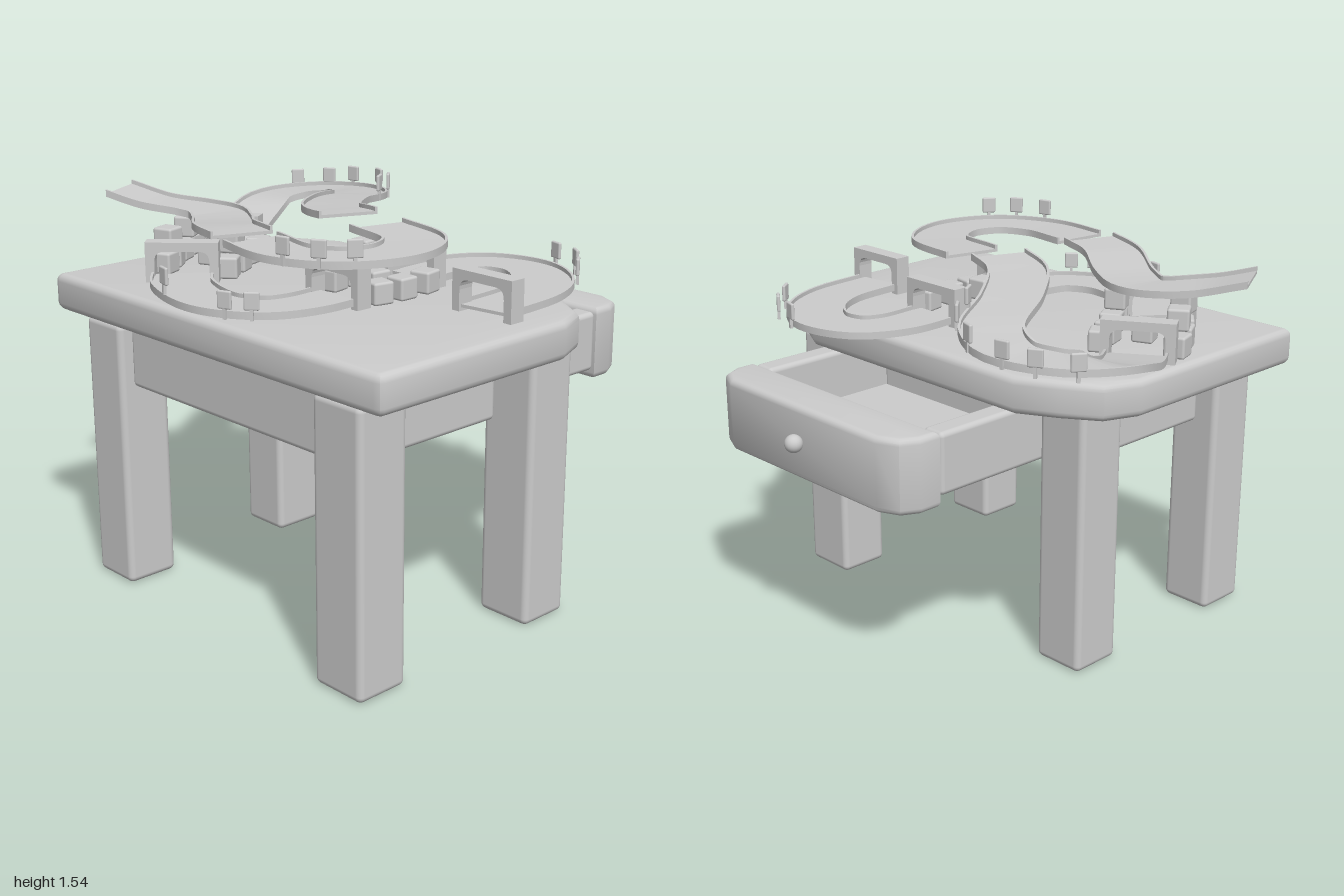
import * as THREE from 'three';
import { toCreasedNormals } from 'three/addons/utils/BufferGeometryUtils.js';
import { RoundedBoxGeometry } from 'three/addons/geometries/RoundedBoxGeometry.js';

const mat = new THREE.MeshStandardMaterial({ color: 0xcccccc });
const TOP = 1.21;

function add(parent, name, geo, x = 0, y = 0, z = 0, ry = 0) {
  const m = new THREE.Mesh(geo, mat);
  m.name = name;
  m.position.set(x, y, z);
  m.rotation.y = ry;
  parent.add(m);
  return m;
}

// Rounded block given by its minimum and maximum on each axis
function block(parent, name, x0, x1, y0, y1, z0, z1, r = 0.02) {
  const g = new RoundedBoxGeometry(x1 - x0, y1 - y0, z1 - z0, 3, r);
  return add(parent, name, g, (x0 + x1) / 2, (y0 + y1) / 2, (z0 + z1) / 2);
}

// Plan outline in (x, z) raised into a slab with rounded edges
function slab(parent, name, outline, y0, y1, bevel) {
  const shape = new THREE.Shape(outline.map(([x, z]) => new THREE.Vector2(x, -z)));
  const g = new THREE.ExtrudeGeometry(shape, {
    depth: y1 - y0 - 2 * bevel, bevelThickness: bevel, bevelSize: bevel, bevelOffset: -bevel, bevelSegments: 4,
  });
  g.rotateX(-Math.PI / 2);
  return add(parent, name, toCreasedNormals(g, 0.6), 0, y0 + bevel, 0);
}

// Channel-shaped ribbon with raised lips, swept along a curve
function track(parent, name, points) {
  const curve = new THREE.CatmullRomCurve3(points.map((p) => new THREE.Vector3(...p)));
  const w = 0.118, t = 0.012, lip = 0.016;
  const section = [[-w, -t], [w, -t], [w, lip], [w - 0.01, lip], [w - 0.01, 0], [-w + 0.01, 0], [-w + 0.01, lip], [-w, lip]];
  const n = section.length, steps = 48, pos = [], idx = [];
  for (let i = 0; i <= steps; i++) {
    const p = curve.getPointAt(i / steps), d = curve.getTangentAt(i / steps);
    const sx = -d.z / Math.hypot(d.x, d.z), sz = d.x / Math.hypot(d.x, d.z);
    for (const [a, b] of section) pos.push(p.x + sx * a, p.y + b, p.z + sz * a);
  }
  for (let i = 0; i < steps; i++) for (let j = 0; j < n; j++) {
    const a = i * n + j, e = i * n + (j + 1) % n;
    idx.push(a, a + n, e, e, a + n, e + n);
  }
  const caps = THREE.ShapeUtils.triangulateShape(section.map((s) => new THREE.Vector2(...s)), []);
  for (const [a, b, c] of caps) {
    const o = steps * n;
    idx.push(a, b, c, o + a, o + c, o + b);
  }
  const g = new THREE.BufferGeometry();
  g.setAttribute('position', new THREE.Float32BufferAttribute(pos, 3));
  g.setIndex(idx);
  add(parent, name, toCreasedNormals(g, 0.6));
}

// Arched gate; at zero angle it spans z
function gate(parent, x, z, angle) {
  const s = new THREE.Shape(), w = 0.14, h = 0.155, i = 0.105, t = 0.12, r = 0.04;
  s.moveTo(-w, 0);
  s.lineTo(-i, 0);
  s.lineTo(-i, t - r);
  s.quadraticCurveTo(-i, t, -i + r, t);
  s.lineTo(i - r, t);
  s.quadraticCurveTo(i, t, i, t - r);
  s.lineTo(i, 0);
  s.lineTo(w, 0);
  s.lineTo(w, h);
  s.lineTo(-w, h);
  const g = new THREE.ExtrudeGeometry(s, { depth: 0.066, bevelEnabled: false, curveSegments: 5 });
  g.translate(0, 0, -0.033).rotateY(Math.PI / 2);
  add(parent, 'gate', g, x, TOP, z, angle);
}

// Small sign on a post; at zero angle its board lies along x
function sign(parent, x, y, z, angle) {
  const g = new THREE.Group();
  g.name = 'trackSign';
  add(g, 'signPost', new THREE.BoxGeometry(0.012, 0.06, 0.012), 0, 0.02, 0);
  add(g, 'signBoard', new RoundedBoxGeometry(0.056, 0.066, 0.014, 2, 0.006), 0, 0.06, 0);
  g.position.set(x, y, z);
  g.rotation.y = angle;
  parent.add(g);
}

export function createModel() {
  const root = new THREE.Group();
  root.name = 'playTable';

  // Tabletop with two clipped corners
  slab(root, 'tableTop', [
    [-0.87, 1], [0.01, 1], [0.15, 0.945], [0.24, 0.81], [0.32, 0.66],
    [0.32, -0.49], [0.24, -0.64], [0.15, -0.775], [0.01, -0.83], [-0.87, -0.83],
    [-0.885, -0.825], [-0.893, -0.8], [-0.893, 0.97], [-0.885, 0.993],
  ], 1.065, TOP, 0.03);

  // Legs
  for (const [x0, x1, z0, z1] of [
    [-0.87, -0.65, 0.65, 0.885], [-0.02, 0.2, 0.65, 0.885],
    [-0.87, -0.65, -0.66, -0.44], [-0.09, 0.13, -0.66, -0.44],
  ]) block(root, 'leg', x0, x1, 0, 1.07, z0, z1, 0.025);

  // Aprons
  block(root, 'frontApron', -0.65, -0.1, 0.82, 1.065, 0.67, 0.78);
  block(root, 'backApron', -0.65, -0.1, 0.82, 1.065, -0.57, -0.46);
  block(root, 'leftApron', -0.82, -0.71, 0.82, 1.065, -0.44, 0.65);

  // Open drawer
  const drawer = new THREE.Group();
  drawer.name = 'drawer';
  root.add(drawer);
  block(drawer, 'drawerSide', -0.05, 0.625, 0.82, 1.06, 0.55, 0.65);
  block(drawer, 'drawerSide', -0.05, 0.625, 0.82, 1.06, -0.44, -0.34);
  block(drawer, 'drawerBack', -0.05, 0.03, 0.82, 1.06, -0.35, 0.56);
  block(drawer, 'drawerBottom', -0.04, 0.66, 0.83, 0.86, -0.36, 0.57, 0.005);
  slab(drawer, 'drawerFront', [
    [0.63, 0.65], [0.72, 0.65], [0.79, 0.615], [0.828, 0.53], [0.828, -0.32],
    [0.79, -0.405], [0.72, -0.44], [0.63, -0.44],
  ], 0.78, 1.07, 0.025);
  add(drawer, 'drawerKnob', new THREE.SphereGeometry(0.035, 20, 14), 0.865, 0.94, 0.095);

  // Track pieces, high to low
  const set = new THREE.Group();
  set.name = 'trackSet';
  root.add(set);
  track(set, 'launchRamp', [
    [-0.535, 1.49, -0.88], [-0.46, 1.45, -0.74], [-0.37, 1.43, -0.6], [-0.35, 1.425, -0.5],
    [-0.43, 1.43, -0.35], [-0.57, 1.455, -0.16], [-0.635, 1.465, 0.02],
  ]);
  track(set, 'upperBend', [
    [-0.65, 1.455, 0.09], [-0.68, 1.45, 0.33], [-0.59, 1.45, 0.51], [-0.4, 1.45, 0.575],
    [-0.22, 1.45, 0.48], [-0.155, 1.455, 0.22],
  ]);
  track(set, 'descendingBend', [
    [-0.15, 1.475, 0.06], [-0.08, 1.46, -0.11], [0.15, 1.435, -0.31], [0.41, 1.4, -0.47], [0.495, 1.38, -0.65],
    [0.42, 1.365, -0.82], [0.27, 1.345, -0.885], [0.08, 1.285, -0.82], [-0.14, 1.235, -0.67],
  ]);
  track(set, 'lowerSideBend', [
    [-0.59, 1.235, -0.4], [-0.71, 1.235, -0.24], [-0.775, 1.235, 0.04],
    [-0.69, 1.235, 0.21], [-0.56, 1.235, 0.26], [-0.38, 1.235, 0.26],
  ]);
  track(set, 'lowerFrontBend', [
    [0.02, 1.235, 0.23], [0.25, 1.235, 0.23], [0.38, 1.235, 0.3], [0.42, 1.235, 0.46],
    [0.33, 1.235, 0.62], [0.16, 1.235, 0.72], [-0.14, 1.235, 0.755],
  ]);

  // Gates
  for (const [x, z, a] of [
    [-0.13, 0.755, 0], [0.03, 0.23, 0], [-0.39, 0.26, 0], [-0.15, -0.67, 0.56], [-0.6, -0.385, 0.79],
  ]) gate(set, x, z, a);

  // Loose cubes piled in the two gaps: x, z, layer
  const cubes = [
    [-0.29, -0.74, 0], [-0.39, -0.68, 0], [-0.48, -0.61, 0], [-0.57, -0.54, 0],
    [-0.14, -0.49, 0], [-0.24, -0.44, 0], [-0.34, -0.37, 0], [-0.44, -0.31, 0],
    [-0.35, -0.53, 0], [-0.34, -0.7, 1], [-0.53, -0.57, 1], [-0.39, -0.35, 1],
    [-0.28, 0.115, 0], [-0.17, 0.1, 0], [-0.07, 0.1, 0],
    [-0.29, 0.37, 0], [-0.18, 0.38, 0], [-0.05, 0.37, 0], [-0.18, 0.24, 0], [-0.11, 0.11, 1],
  ];
  cubes.forEach(([x, z, layer], i) =>
    add(set, 'cube', new RoundedBoxGeometry(0.085, 0.085, 0.085, 2, 0.01),
      x, TOP + 0.043 + layer * 0.086, z, (z < 0 ? 0.5 : 0) + ((i * 7) % 5 - 2) * 0.1));

  // Signs along the outer edges
  for (const s of [
    [-0.64, 1.45, 0.62, -0.6], [-0.73, 1.45, 0.54, -1], [-0.785, 1.45, 0.42, -1.35],
    [0.35, 1.42, -0.29, 0.55], [0.48, 1.4, -0.37, 0.75], [0.59, 1.385, -0.54, 1.25],
    [0.605, 1.37, -0.72, 1.75], [0.56, 1.355, -0.83, 2.1], [0.47, 1.345, -0.94, 2.55],
    [0.4, 1.235, 0.73, 0.65], [0.51, 1.235, 0.63, 0.95], [0.55, 1.235, 0.5, 1.3],
    [-0.87, 1.26, -0.14, 1.35], [-0.865, 1.235, 0.2, -1.2], [-0.81, 1.235, 0.28, -0.85],
  ]) sign(set, ...s);

  return root;
}
